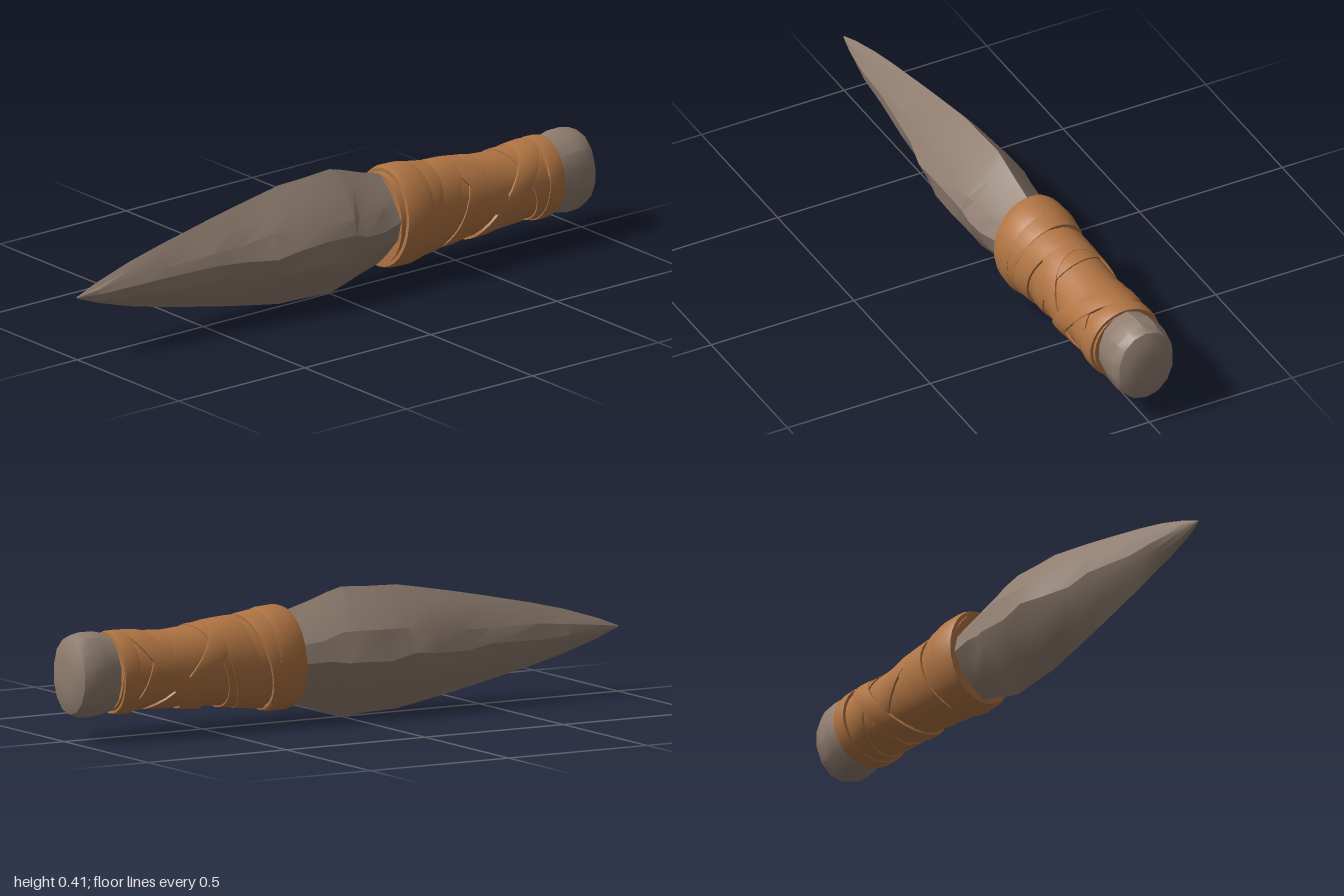
import * as THREE from 'three';
import { toCreasedNormals } from 'three/addons/utils/BufferGeometryUtils.js';

const CY = 0.205; // height of the long axis

// Small seeded noise in -1..1
function noise(seed) {
  let s = seed;
  return () => ((s = (s * 16807) % 2147483647) / 2147483647) * 2 - 1;
}

// Skin over closed rings that advance along +x, with optional end caps
function loft(rings, { caps = false, crease = 0.35 } = {}) {
  const n = rings[0].length;
  const pos = rings.flat(2);
  const index = [];
  for (let i = 0; i < rings.length - 1; i++) {
    for (let j = 0; j < n; j++) {
      const a = i * n + j, b = i * n + (j + 1) % n;
      index.push(a, b, a + n, b, b + n, a + n);
    }
  }
  if (caps) {
    for (const end of [0, rings.length - 1]) {
      const c = pos.length / 3;
      for (let k = 0; k < 3; k++) pos.push(rings[end].reduce((s, p) => s + p[k], 0) / n);
      for (let j = 0; j < n; j++) {
        const a = end * n + j, b = end * n + (j + 1) % n;
        if (end === 0) index.push(c, b, a); else index.push(c, a, b);
      }
    }
  }
  const geo = new THREE.BufferGeometry();
  geo.setAttribute('position', new THREE.Float32BufferAttribute(pos, 3));
  geo.setIndex(index);
  return toCreasedNormals(geo, crease);
}

// Linear lookup in a profile of [x, halfHeight, halfDepth]
function sample(profile, x) {
  const last = profile.length - 1;
  if (x <= profile[0][0]) return profile[0].slice(1);
  for (let i = 0; i < last; i++) {
    const p = profile[i], q = profile[i + 1];
    if (x <= q[0]) {
      const t = (x - p[0]) / (q[0] - p[0]);
      return [p[1] + (q[1] - p[1]) * t, p[2] + (q[2] - p[2]) * t];
    }
  }
  return profile[last].slice(1);
}

const BLADE = [
  [-1, 0.003, 0.003], [-0.92, 0.034, 0.022], [-0.8, 0.071, 0.044], [-0.68, 0.1, 0.052],
  [-0.5, 0.138, 0.08], [-0.4, 0.158, 0.09], [-0.28, 0.18, 0.116], [-0.2, 0.194, 0.127],
  [-0.1, 0.197, 0.132], [0, 0.203, 0.131], [0.05, 0.19, 0.127], [0.12, 0.167, 0.12],
  [0.2, 0.145, 0.11], [0.3, 0.13, 0.1],
];
const POMMEL = [
  [0.78, 0.11, 0.09], [0.85, 0.123, 0.098], [0.9, 0.134, 0.107], [0.95, 0.134, 0.107],
  [0.98, 0.121, 0.096], [0.995, 0.085, 0.067], [1, 0.045, 0.035],
];
const GRIP = [
  [0.2, 0.145, 0.11], [0.24, 0.152, 0.118], [0.3, 0.147, 0.122], [0.36, 0.138, 0.114],
  [0.42, 0.136, 0.11], [0.5, 0.13, 0.113], [0.6, 0.122, 0.113], [0.7, 0.114, 0.113],
  [0.78, 0.121, 0.112], [0.85, 0.119, 0.11],
];

// Knapped blade: sharp above and below, faceted across each cheek
function bladeGeometry() {
  const rnd = noise(71);
  const levels = [1, 0.7, 0.38, 0.06, -0.35, -0.7];
  const rings = BLADE.map(([x, h, w]) => {
    const ring = [];
    for (const side of [1, -1]) {
      for (const l of levels) {
        const edge = l === 1;
        const u = edge ? l : l + rnd() * 0.06;
        const z = edge ? 0 : w * (1 - Math.abs(u) ** 1.5) * (Math.abs(l) < 0.1 ? 1 : 1 + rnd() * 0.05);
        const dx = edge || x < -0.95 ? 0 : rnd() * 0.015;
        ring.push([x + dx, CY + side * u * h, side * z]);
      }
    }
    return ring;
  });
  return loft(rings, { caps: true, crease: 0.28 });
}

function ovalRing(x, h, d, n, wobble = () => 0) {
  return Array.from({ length: n }, (_, j) => {
    const a = (j / n) * Math.PI * 2, k = 1 + wobble();
    return [x, CY + Math.cos(a) * h * k, Math.sin(a) * d * k];
  });
}

// Strap hugging the grip; leanY and leanZ tilt its loop along x
function strapGeometry({ x, w, leanY = 0, leanZ = 0, out = 0.01 }) {
  const n = 32;
  const section = [[-1, -0.012], [-1, out * 0.8], [-0.6, out], [0.6, out], [1, out * 0.8], [1, -0.012]];
  const rings = section.map(([s, lift]) => Array.from({ length: n }, (_, j) => {
    const a = (j / n) * Math.PI * 2;
    const px = x + s * w + leanY * Math.cos(a) + leanZ * Math.sin(a);
    const [h, d] = sample(GRIP, px);
    return [px, CY + Math.cos(a) * (h + lift), Math.sin(a) * (d + lift)];
  }));
  return loft(rings, { crease: 0.5 });
}

export function createModel() {
  const stone = new THREE.MeshStandardMaterial({ color: 0x8f7d6f });
  stone.name = 'stone';
  const leather = new THREE.MeshStandardMaterial({ color: 0xb07443 });
  leather.name = 'leather';
  leather.side = THREE.DoubleSide;

  const model = new THREE.Group();
  model.name = 'stoneKnife';
  const add = (name, geo, mat, parent = model) => {
    const mesh = new THREE.Mesh(geo, mat);
    mesh.name = name;
    parent.add(mesh);
  };

  add('blade', bladeGeometry(), stone);

  // Rounded butt of the handle
  const rnd = noise(23);
  add('pommel', loft(POMMEL.map(([x, h, d]) => ovalRing(x, h, d, 14, () => rnd() * 0.012)),
    { caps: true, crease: 0.5 }), stone);

  // Leather sleeve with overlapping straps
  const wrap = new THREE.Group();
  wrap.name = 'handleWrap';
  model.add(wrap);
  add('gripSleeve', loft(GRIP.map(([x, h, d]) => ovalRing(x, h, d, 24)), { caps: true, crease: 0.5 }), leather, wrap);
  [
    { x: 0.255, w: 0.05, leanY: 0.01, leanZ: 0.01, out: 0.015 },
    { x: 0.3, w: 0.038, leanY: 0.04, leanZ: 0.01, out: 0.012 },
    { x: 0.39, w: 0.05, leanY: 0.045, leanZ: -0.02, out: 0.009 },
    { x: 0.47, w: 0.035, leanY: 0.05, leanZ: 0.02, out: 0.005 },
    { x: 0.57, w: 0.045, leanY: -0.11, leanZ: 0.015, out: 0.008 },
    { x: 0.66, w: 0.04, leanY: 0.1, leanZ: -0.01, out: 0.01 },
    { x: 0.74, w: 0.035, leanY: -0.04, leanZ: 0.02, out: 0.006 },
    { x: 0.815, w: 0.028, leanY: 0.008, leanZ: -0.006, out: 0.011 },
  ].forEach((s, i) => add(`strap${i + 1}`, strapGeometry(s), leather, wrap));

  return model;
}
